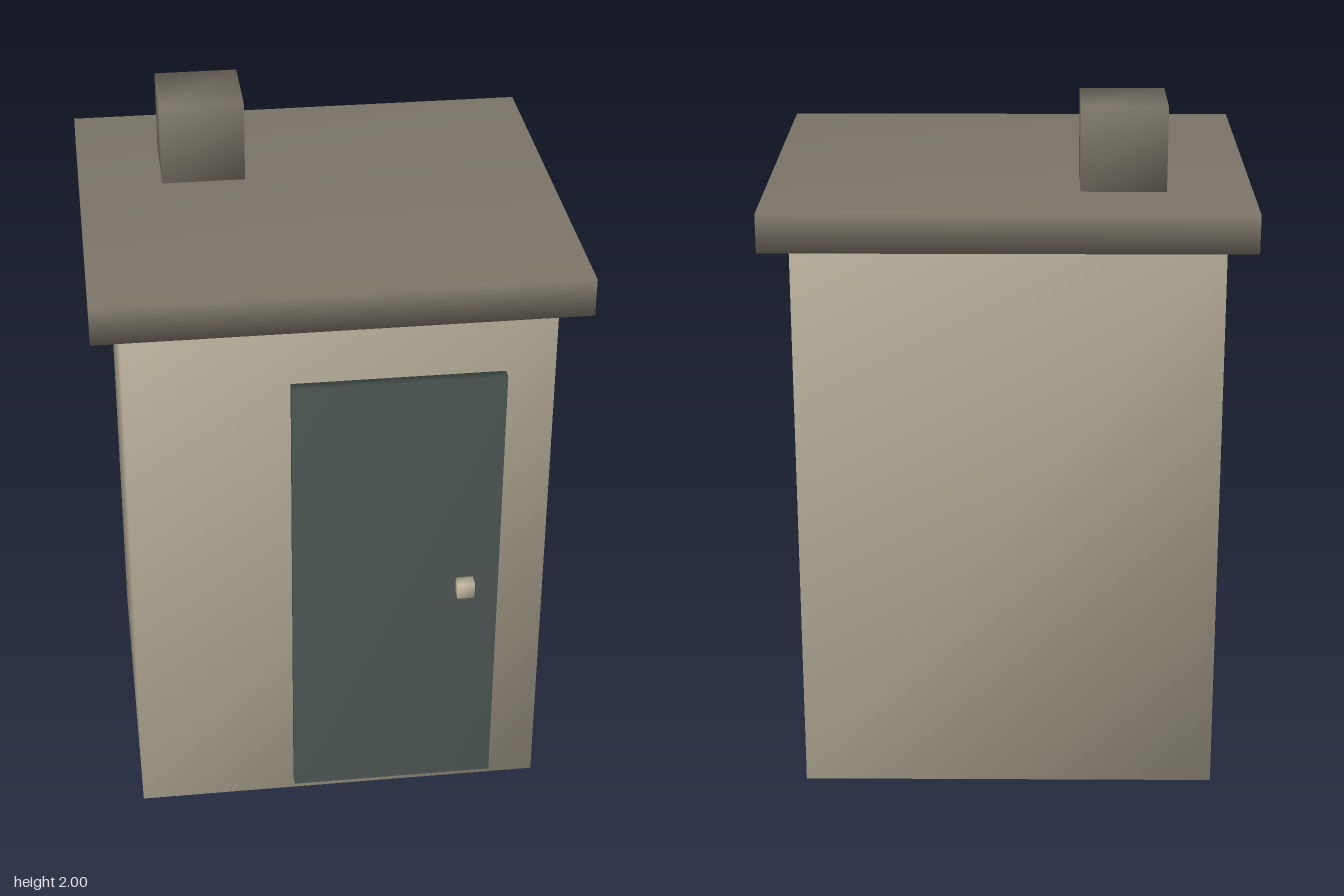
import * as THREE from 'three';
import { mergeVertices } from 'three/addons/utils/BufferGeometryUtils.js';

// Box given by its extents, with shared corners so the shading is smooth
function smoothBox(name, material, [x0, x1], [y0, y1], [z0, z1]) {
  let geometry = new THREE.BoxGeometry(x1 - x0, y1 - y0, z1 - z0);
  geometry.deleteAttribute('normal');
  geometry.deleteAttribute('uv');
  geometry = mergeVertices(geometry);
  geometry.clearGroups();
  geometry.computeVertexNormals();
  const mesh = new THREE.Mesh(geometry, material);
  mesh.name = name;
  mesh.position.set((x0 + x1) / 2, (y0 + y1) / 2, (z0 + z1) / 2);
  return mesh;
}

function paint(name, color) {
  const material = new THREE.MeshStandardMaterial({ color });
  material.name = name;
  return material;
}

export function createModel() {
  const wall = paint('wall beige', 0xb0a894);
  const roof = paint('roof brown grey', 0x7a7467);
  const door = paint('door slate', 0x4c5754);
  const knob = paint('knob sand', 0xc4b8a0);

  const shed = new THREE.Group();
  shed.name = 'shed';
  shed.add(
    // Walls and overhanging flat roof
    smoothBox('walls', wall, [-0.6, 0.6], [0, 1.65], [-0.52, 0.52]),
    smoothBox('roof', roof, [-0.68, 0.68], [1.65, 1.76], [-0.6, 0.6]),
    // Square vent on the rear of the roof
    smoothBox('roofVent', roof, [-0.44, -0.2], [1.76, 2], [-0.36, -0.12]),
    // Door with its knob
    smoothBox('door', door, [-0.14, 0.46], [0.04, 1.445], [0.52, 0.553]),
    smoothBox('doorKnob', knob, [0.335, 0.385], [0.725, 0.775], [0.553, 0.59]),
  );
  return shed;
}
